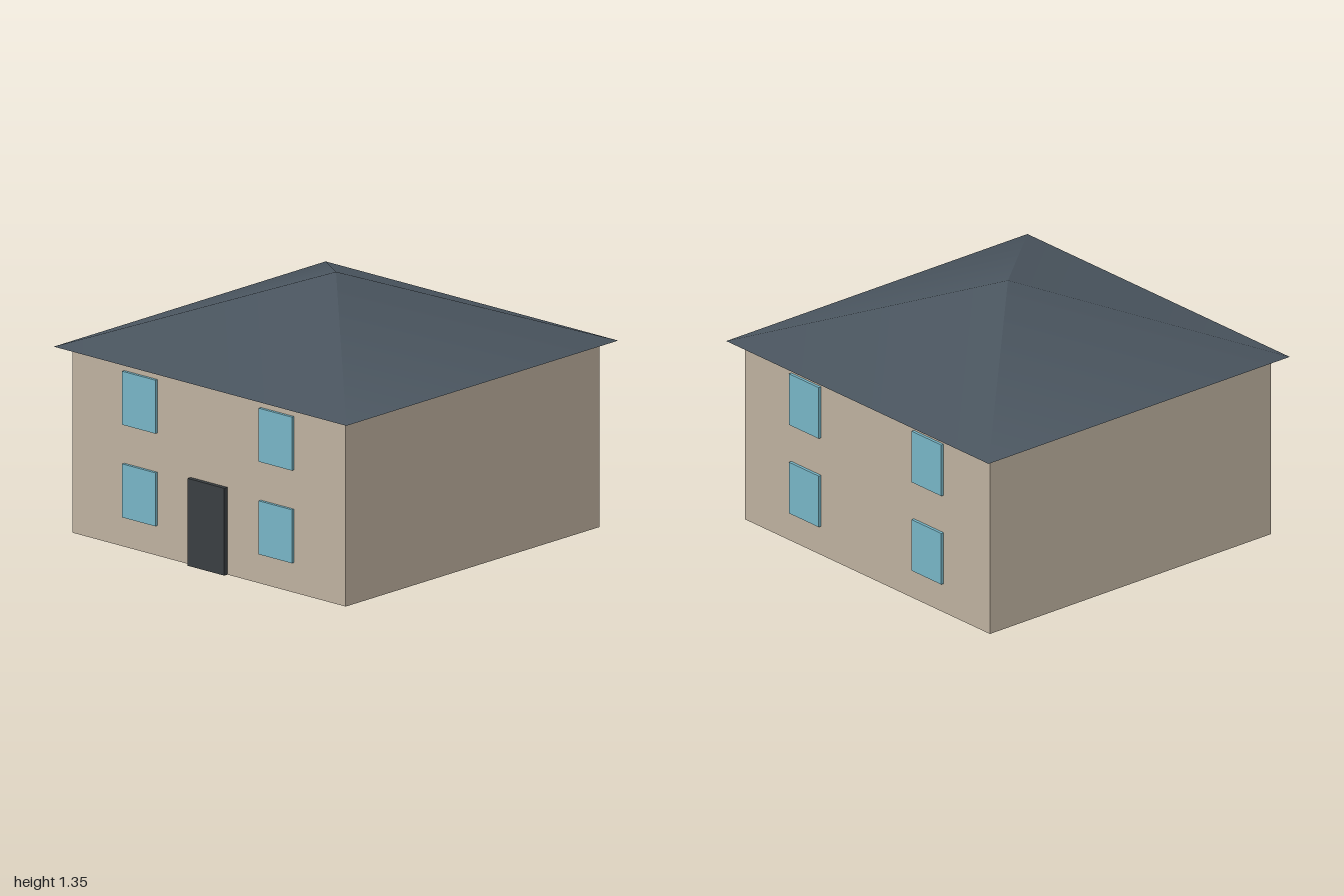
import * as THREE from 'three';

const material = (color) => new THREE.MeshStandardMaterial({ color });

export function createModel() {
  const house = new THREE.Group();
  house.name = 'house';

  const wallMaterial = material(0xbfb2a0);
  const roofMaterial = material(0x4a555f);
  const glassMaterial = material(0x78b6c7);
  const doorMaterial = material(0x3a3f42);

  const add = (name, geometry, mat, x, y, z) => {
    const mesh = new THREE.Mesh(geometry, mat);
    mesh.name = name;
    mesh.position.set(x, y, z);
    house.add(mesh);
    return mesh;
  };

  // Square wall block
  const half = 0.933, wallHeight = 0.975;
  add('walls', new THREE.BoxGeometry(2 * half, wallHeight, 2 * half), wallMaterial, 0, wallHeight / 2, 0);

  // Four-sided roof with overhanging eaves
  const roofHeight = 0.376;
  const roof = add('roof', new THREE.ConeGeometry(Math.SQRT2, roofHeight, 4), roofMaterial,
    0, wallHeight + roofHeight / 2, 0);
  roof.rotation.y = Math.PI / 4;

  // Front door
  add('door', new THREE.BoxGeometry(0.25, 0.457, 0.048), doorMaterial, 0, 0.2285, half);

  // Two storeys of windows on the front and back
  const windowGeometry = new THREE.BoxGeometry(0.227, 0.28, 0.032);
  for (const [face, side] of [['front', 1], ['back', -1]]) {
    for (const [storey, y] of [['Lower', 0.297], ['Upper', 0.782]]) {
      for (const [hand, x] of [['Left', 0.467], ['Right', -0.467]]) {
        add(`${face}${storey}${hand}Window`, windowGeometry, glassMaterial, x, y, side * half);
      }
    }
  }

  return house;
}
